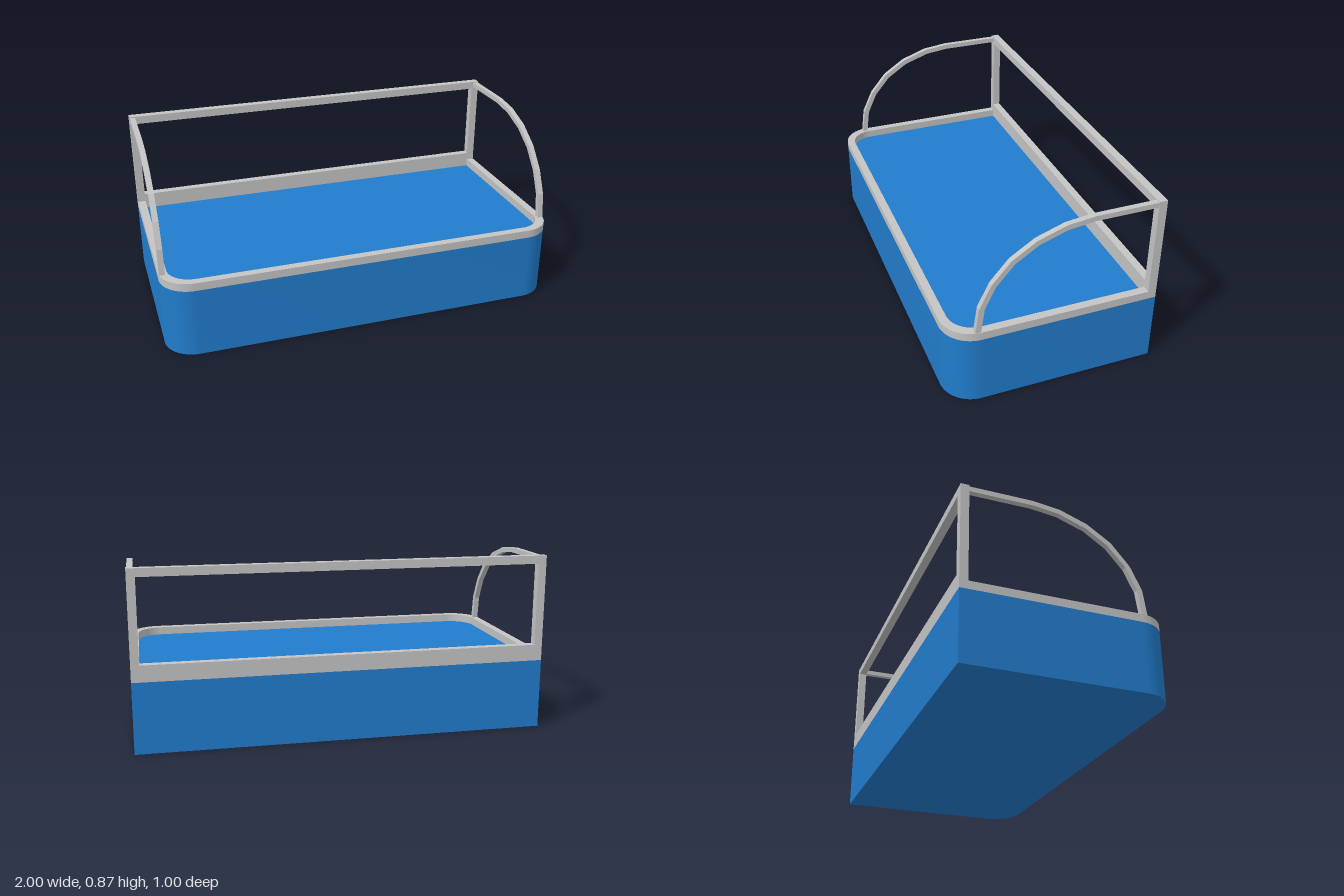
import * as THREE from 'three';
import { toCreasedNormals } from 'three/addons/utils/BufferGeometryUtils.js';

const BASE_TOP = 0.345, RIM_TOP = 0.385, TOP = 0.87, BAR = 0.04;

// Plan outline in x/z: square back corners, rounded front corners
function outline(target, inset, r) {
  const x = 1 - inset, z = 0.5 - inset;
  target.moveTo(-x, -z);
  target.lineTo(x, -z);
  target.lineTo(x, z - r);
  target.absarc(x - r, z - r, r, 0, Math.PI / 2, false);
  target.lineTo(-x + r, z);
  target.absarc(-x + r, z - r, r, Math.PI / 2, Math.PI, false);
  target.closePath();
  return target;
}

// Extrude a plan shape downwards from the given top height
function slab(shape, top, height) {
  const geo = new THREE.ExtrudeGeometry(shape, { depth: height, bevelEnabled: false, curveSegments: 10 });
  geo.rotateX(Math.PI / 2).translate(0, top, 0);
  return toCreasedNormals(geo, 0.6);
}

export function createModel() {
  const group = new THREE.Group();
  const blue = new THREE.MeshStandardMaterial({ color: 0x217ccc });
  blue.name = 'blue';
  const grey = new THREE.MeshStandardMaterial({ color: 0xc4c4c4 });
  grey.name = 'light grey';

  const add = (name, geo, mat) => {
    const mesh = new THREE.Mesh(geo, mat);
    mesh.name = name;
    group.add(mesh);
  };
  const bar = (name, w, h, x, y) =>
    add(name, new THREE.BoxGeometry(w, h, BAR).translate(x, y, -0.5 + BAR / 2), grey);

  // Solid body and the raised rim around its top
  add('body', slab(outline(new THREE.Shape(), 0, 0.15), BASE_TOP, BASE_TOP), blue);
  const rim = outline(new THREE.Shape(), 0, 0.15);
  rim.holes.push(outline(new THREE.Path(), BAR, 0.12));
  add('rim', slab(rim, RIM_TOP, RIM_TOP - BASE_TOP), grey);

  // Rectangular frame at the back
  const span = 2 - 2 * BAR;
  bar('backLowerRail', span, BAR, 0, RIM_TOP + BAR / 2);
  bar('backUpperRail', span, BAR, 0, TOP - BAR / 2);

  // Faceted side hoop profile, as z/y points
  const outer = [[0.38, 0.385], [0.363, 0.51], [0.308, 0.625], [0.22, 0.728],
    [0.105, 0.803], [-0.03, 0.85], [-0.16, 0.865], [-0.46, 0.865]];
  const inner = [[0.353, 0.385], [0.337, 0.505], [0.286, 0.613], [0.202, 0.71],
    [0.095, 0.78], [-0.035, 0.825], [-0.16, 0.84], [-0.46, 0.84]];
  const profile = new THREE.Shape([...outer, ...inner.reverse()].map(([z, y]) => new THREE.Vector2(z, y)));

  for (const [side, s] of [['left', 1], ['right', -1]]) {
    bar(side + 'BackPost', BAR, TOP - RIM_TOP, s * (1 - BAR / 2), (TOP + RIM_TOP) / 2);
    const hoop = new THREE.ExtrudeGeometry(profile, { depth: 0.027, bevelEnabled: false });
    hoop.rotateY(-Math.PI / 2).translate(s * 0.9835 + 0.0135, 0, 0);
    add(side + 'Hoop', hoop, grey);
  }
  return group;
}
